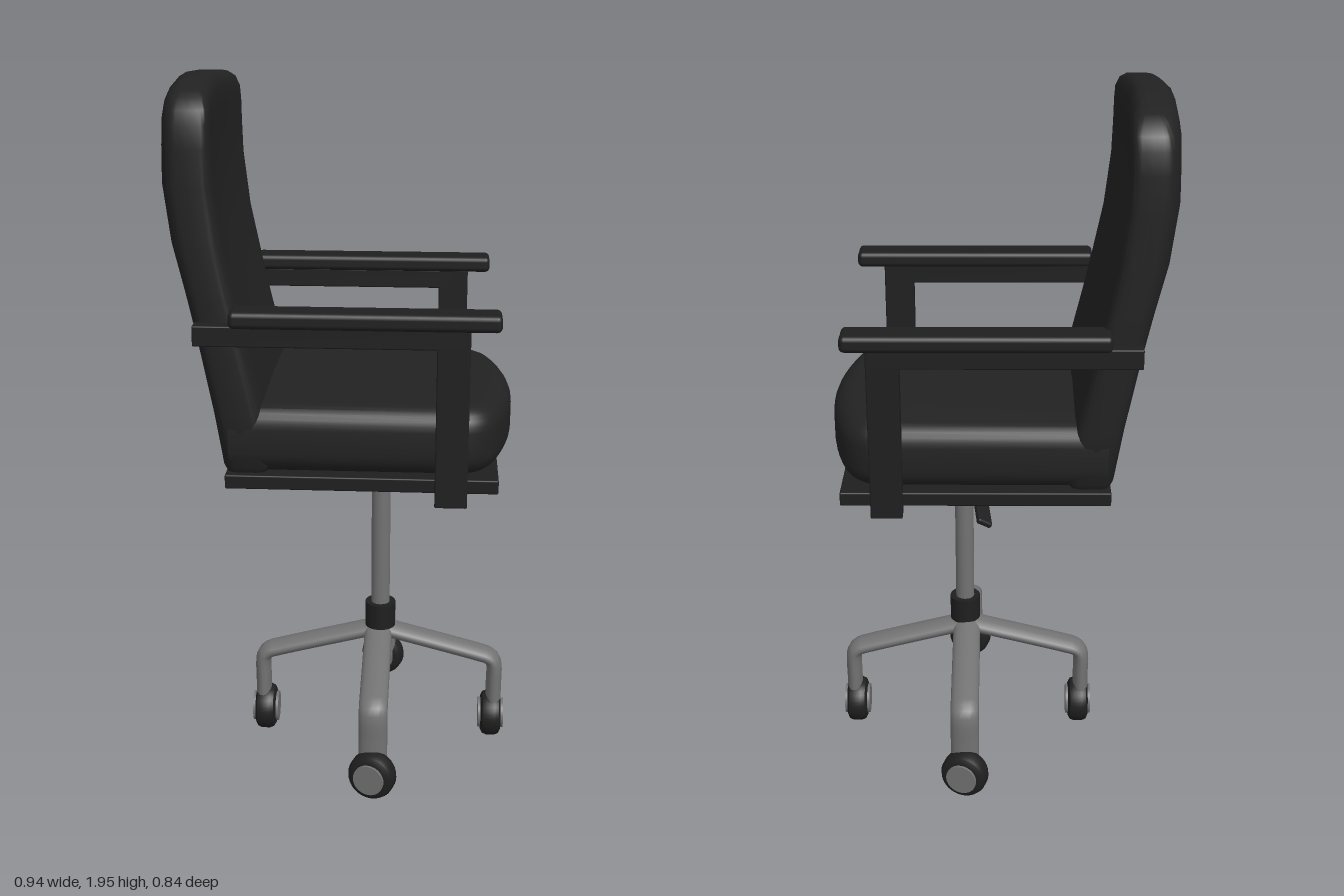
import * as THREE from 'three';
import { toCreasedNormals } from 'three/addons/utils/BufferGeometryUtils.js';
import { RoundedBoxGeometry } from 'three/addons/geometries/RoundedBoxGeometry.js';

const CX = -0.43, CZ = 0.012; // axis of the swivel column

function material(name, color) {
  const m = new THREE.MeshStandardMaterial({ color });
  m.name = name;
  return m;
}

function add(parent, name, geometry, mat, x = 0, y = 0, z = 0) {
  const mesh = new THREE.Mesh(geometry, mat);
  mesh.name = name;
  mesh.position.set(x, y, z);
  parent.add(mesh);
  return mesh;
}

// Box given by its minimum and maximum corners, with softened edges
function block(parent, name, mat, [x0, y0, z0], [x1, y1, z1], radius = 0.004) {
  const geo = new RoundedBoxGeometry(x1 - x0, y1 - y0, z1 - z0, 3, radius);
  return add(parent, name, geo, mat, (x0 + x1) / 2, (y0 + y1) / 2, (z0 + z1) / 2);
}

// Backrest: rounded sections stacked upwards, bowed sideways and arched at the top
function backrestGeometry() {
  const levels = [ // y, back x, front x, half width
    [0.94, -0.835, -0.715, 0.325], [0.96, -0.843, -0.703, 0.338], [1.1, -0.87, -0.73, 0.341],
    [1.3, -0.915, -0.785, 0.342], [1.42, -0.945, -0.815, 0.342], [1.55, -0.98, -0.846, 0.342],
    [1.7, -1, -0.865, 0.342], [1.8, -0.998, -0.868, 0.342], [1.87, -0.995, -0.868, 0.338],
    [1.91, -0.988, -0.868, 0.325], [1.938, -0.975, -0.875, 0.3], [1.95, -0.955, -0.89, 0.27],
  ];
  const N = 48, pos = [], index = [];
  const soft = (v, p) => Math.sign(v) * Math.abs(v) ** p;
  const vertex = (level, a, s) => {
    const [y, back, front, hw] = level;
    const u = s * soft(Math.sin(a), 0.4), t = s * soft(Math.cos(a), 0.22);
    const k = Math.min(1, Math.max(0, (y - 0.95) / 0.65));
    const w = t * hw / 0.342;
    const arch = y > 1.75 ? 0.035 * w * w * (y - 1.75) / 0.2 : 0;
    pos.push((back + front) / 2 + u * (front - back) / 2 + 0.028 * k * w * w, y - arch, CZ + t * hw);
  };
  // inner rings close the bottom and the top
  const rings = [[levels[0], 0], [levels[0], 0.5], ...levels.map((l) => [l, 1]),
    [levels.at(-1), 0.5], [levels.at(-1), 0]];
  for (const [level, s] of rings) {
    for (let i = 0; i < N; i++) vertex(level, (i / N) * Math.PI * 2, s);
  }
  for (let r = 0; r < rings.length - 1; r++) {
    for (let i = 0; i < N; i++) {
      const a = r * N + i, b = r * N + (i + 1) % N;
      index.push(a, a + N, b, b, a + N, b + N);
    }
  }
  const geo = new THREE.BufferGeometry();
  geo.setAttribute('position', new THREE.Float32BufferAttribute(pos, 3));
  geo.setIndex(index);
  // keep the faces turned outwards
  geo.computeVertexNormals();
  const probe = 6 * N; // vertex on the +z side
  if (geo.attributes.normal.getZ(probe) < 0) {
    for (let i = 0; i < index.length; i += 3) [index[i], index[i + 1]] = [index[i + 1], index[i]];
    geo.setIndex(index);
    geo.computeVertexNormals();
  }
  return toCreasedNormals(geo, 0.8);
}

// Seat cushion: plan outline with a bowed front edge and rounded rim
function seatGeometry() {
  const rim = 0.06, w = 0.28;
  const s = new THREE.Shape();
  s.moveTo(-0.76, -w);
  s.lineTo(-0.22, -w);
  s.quadraticCurveTo(-0.18, -w, -0.165, -w + 0.05);
  s.quadraticCurveTo(-0.095, 0, -0.165, w - 0.05);
  s.quadraticCurveTo(-0.18, w, -0.22, w);
  s.lineTo(-0.76, w);
  const geo = new THREE.ExtrudeGeometry(s, {
    depth: 0.065, bevelThickness: rim, bevelSize: rim, bevelSegments: 6, curveSegments: 12,
  });
  geo.rotateX(-Math.PI / 2);
  return toCreasedNormals(geo, 0.7);
}

// Base leg: oval tube running outwards and then bending down to the caster
function legGeometry() {
  const v = (x, y) => new THREE.Vector3(x, y, 0);
  const path = new THREE.CatmullRomCurve3([
    v(0, 0.345), v(0.1, 0.319), v(0.2, 0.293), v(0.3, 0.266), v(0.325, 0.258),
    v(0.34, 0.245), v(0.345, 0.225), v(0.345, 0.16), v(0.345, 0.08),
  ]);
  return new THREE.TubeGeometry(path, 40, 0.023, 16).scale(1, 1, 1.75);
}

export function createModel() {
  const fabric = material('black upholstery', 0x222222);
  const frame = material('black frame', 0x1f1f1f);
  const metal = material('grey metal', 0x727272);
  const chair = new THREE.Group();
  chair.name = 'officeChair';

  add(chair, 'backrest', backrestGeometry(), fabric);
  add(chair, 'seatCushion', seatGeometry(), fabric, 0, 1.0, CZ);
  block(chair, 'seatPlate', frame, [-0.83, 0.905, -0.34], [-0.11, 0.943, 0.362]);

  // Armrests: pad, rail and front post on each side
  for (const side of [1, -1]) {
    const arm = new THREE.Group();
    arm.name = side > 0 ? 'leftArmrest' : 'rightArmrest';
    const dx = side > 0 ? 0 : -0.014;
    const range = (a, b) => (side > 0 ? [0.018 + a, 0.018 + b] : [0.018 - b, 0.018 - a]);
    const [p0, p1] = range(0.308, 0.4), [r0, r1] = range(0.325, 0.375);
    block(arm, 'armPad', frame, [-0.805 + dx, 1.352, p0], [-0.115 + dx, 1.396, p1], 0.014);
    block(arm, 'armRail', frame, [-0.9, 1.3, r0], [-0.195, 1.354, r1]);
    block(arm, 'armPost', frame, [-0.277, 0.875, r0], [-0.192, 1.354, r1]);
    chair.add(arm);
  }

  // Swivel mechanism, column and hub
  add(chair, 'mechanism', new THREE.CylinderGeometry(0.108, 0.108, 0.065, 40), frame, -0.415, 0.875, CZ);
  add(chair, 'column', new THREE.CylinderGeometry(0.027, 0.027, 0.5, 32), metal, CX, 0.62, CZ);
  add(chair, 'hub', new THREE.CylinderGeometry(0.044, 0.044, 0.075, 32), frame, CX, 0.393, CZ);
  add(chair, 'hubUnderside', new THREE.CylinderGeometry(0.035, 0.035, 0.07, 32), metal, CX, 0.335, CZ);

  // Height lever with its paddle
  const lever = new THREE.Group();
  lever.name = 'heightLever';
  lever.position.set(-0.47, 0.862, -0.08);
  lever.rotation.set(-0.27, 0.12, 0);
  const rod = add(lever, 'leverRod', new THREE.CylinderGeometry(0.005, 0.005, 0.13, 10), frame, 0, 0, -0.06);
  rod.rotation.x = Math.PI / 2;
  const paddle = add(lever, 'leverPaddle', new RoundedBoxGeometry(0.045, 0.017, 0.085, 2, 0.006), frame, 0, 0, -0.15);
  paddle.rotation.z = 0.6;
  chair.add(lever);

  // Four legs with casters
  const legGeo = legGeometry();
  const tyreGeo = toCreasedNormals(new THREE.LatheGeometry([
    [0, -0.03], [0.05, -0.03], [0.062, -0.024], [0.067, -0.012],
    [0.067, 0.012], [0.062, 0.024], [0.05, 0.03], [0, 0.03],
  ].map(([x, y]) => new THREE.Vector2(x, y)), 36), 0.7);
  const capGeo = new THREE.CylinderGeometry(0.044, 0.044, 0.075, 32);
  for (let i = 0; i < 4; i++) {
    const leg = new THREE.Group();
    leg.name = 'baseLeg' + (i + 1);
    leg.position.set(CX - 0.005, 0, CZ - 0.01);
    leg.rotation.y = (i * Math.PI) / 2;
    add(leg, 'legTube', legGeo, metal);
    const caster = new THREE.Group();
    caster.name = 'caster';
    caster.position.set(i % 2 ? 0.373 : 0.338, 0.067, 0);
    caster.rotation.y = i % 2 ? -0.3 : 0; // the side casters are swivelled a little
    for (const [name, geo, mat] of [['tyre', tyreGeo, frame], ['wheelDisc', capGeo, metal]]) {
      add(caster, name, geo, mat).rotation.z = Math.PI / 2;
    }
    leg.add(caster);
    chair.add(leg);
  }
  return chair;
}
